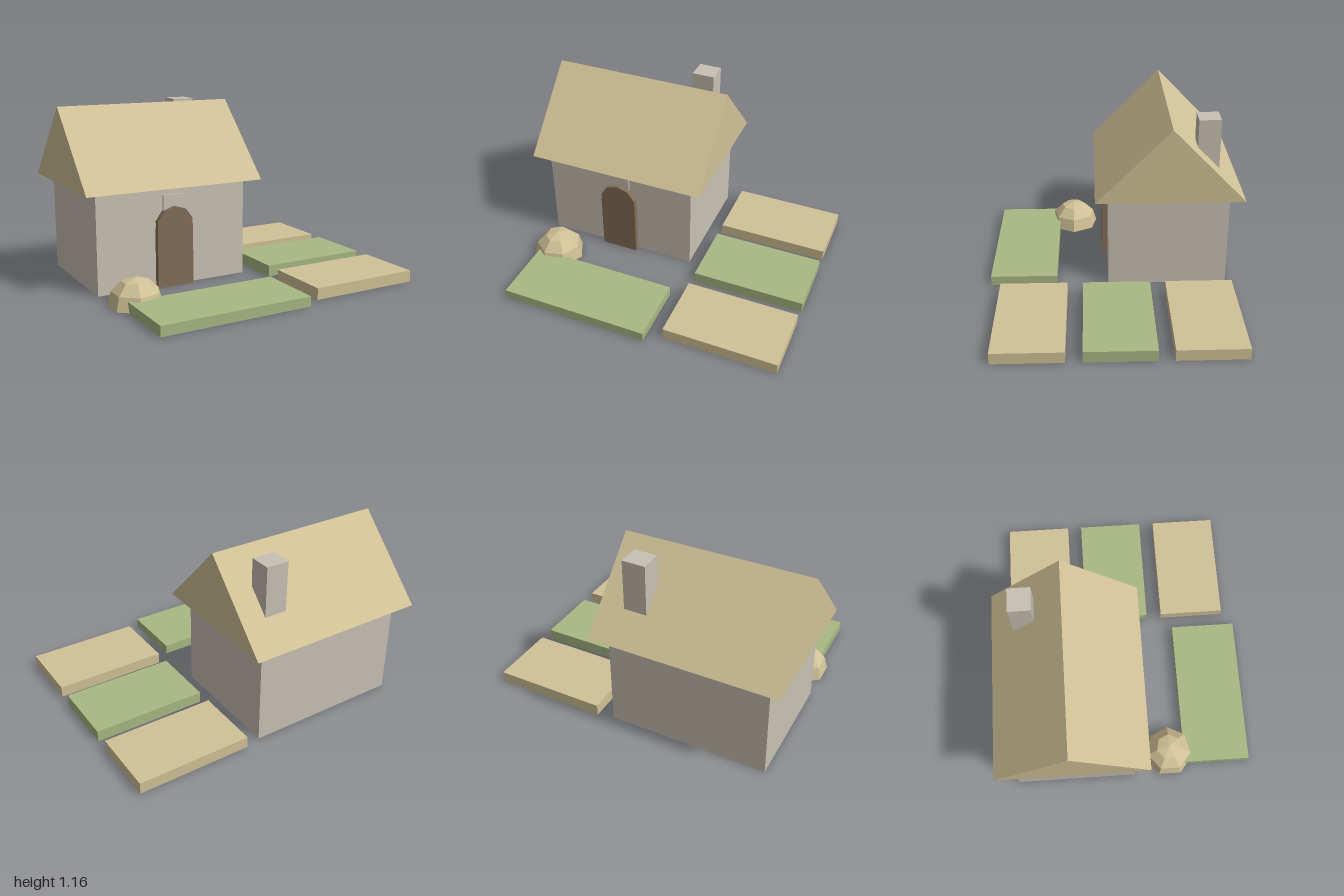
import * as THREE from 'three';

const material = (name, color) => {
  const m = new THREE.MeshStandardMaterial({ color, flatShading: true });
  m.name = name;
  return m;
};

export function createModel() {
  const model = new THREE.Group();
  model.name = 'cottage';
  const stone = material('stone', 0xc8c1b4);
  const straw = material('straw', 0xd0c196);
  const grass = material('grass', 0xa8b883);
  const wood = material('wood', 0x836e56);

  const add = (name, geometry, mat, x = 0, y = 0, z = 0) => {
    const mesh = new THREE.Mesh(geometry, mat);
    mesh.name = name;
    mesh.position.set(x, y, z);
    model.add(mesh);
    return mesh;
  };
  // Box given by its limits on each axis
  const block = (name, mat, [x0, x1], [y0, y1], [z0, z1]) =>
    add(name, new THREE.BoxGeometry(x1 - x0, y1 - y0, z1 - z0), mat,
      (x0 + x1) / 2, (y0 + y1) / 2, (z0 + z1) / 2);

  // House body and chimney
  block('walls', stone, [-0.913, 0.14], [0, 0.657], [-0.76, 0.043]);
  block('chimney', stone, [-0.086, 0.066], [0.75, 1.16], [-0.685, -0.54]);

  // Gable roof: triangle drawn in z and y, extruded along x
  const gable = new THREE.Shape([
    new THREE.Vector2(-0.13, 0.657),
    new THREE.Vector2(0.85, 0.657),
    new THREE.Vector2(0.36, 1.16),
  ]);
  const roof = new THREE.ExtrudeGeometry(gable, { depth: 1.23, bevelEnabled: false });
  roof.rotateY(Math.PI / 2);
  add('roof', roof, straw, -1);

  // Arched door: straight panel with a ten-sided disc as its top
  block('doorPanel', wood, [-0.513, -0.26], [0, 0.4], [0.03, 0.08]);
  const arch = new THREE.CylinderGeometry(0.13, 0.13, 0.05, 10);
  arch.rotateX(Math.PI / 2);
  add('doorArch', arch, wood, -0.386, 0.4, 0.055);
  block('lintelStone', stone, [-0.46, -0.31], [0.45, 0.605], [0.03, 0.058]);

  // Garden beds
  block('frontLawn', grass, [-0.86, 0.14], [0, 0.065], [0.395, 0.845]);
  [[straw, -0.787], [grass, -0.235], [straw, 0.32]].forEach(([mat, z], i) =>
    block('gardenBed' + (i + 1), mat, [0.245, 1], [0, 0.076], [z, z + 0.45]));

  // Seven-sided haystack dome with a closed base
  const dome = new THREE.SphereGeometry(0.175, 7, 3, 0, Math.PI * 2, 0, Math.PI / 2);
  dome.rotateY(Math.PI);
  add('haystack', dome, straw, -0.763, 0, 0.29);
  const base = new THREE.CircleGeometry(0.175, 7);
  base.rotateX(Math.PI / 2);
  add('haystackBase', base, straw, -0.763, 0, 0.29);

  return model;
}
